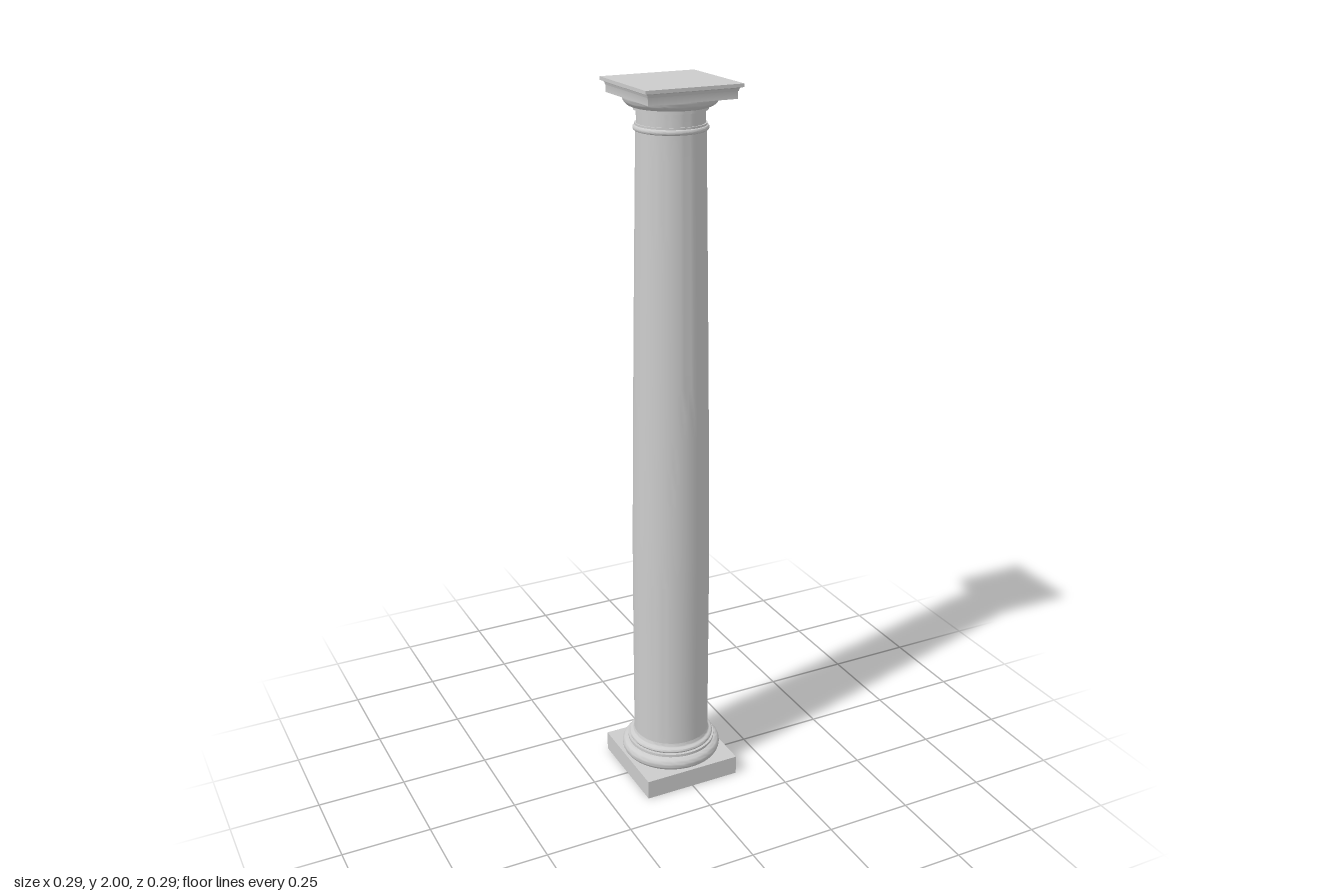
import * as THREE from 'three';
import { toCreasedNormals } from 'three/addons/utils/BufferGeometryUtils.js';

const material = new THREE.MeshStandardMaterial({ color: 0xcccccc });

// Turns a [radius, height] profile; four sides make a square moulding
function turned(name, profile, sides = 64) {
  const square = sides === 4;
  const points = profile.map(([r, y]) => new THREE.Vector2(square ? r * Math.SQRT2 : r, y));
  const lathe = new THREE.LatheGeometry(points, sides, square ? Math.PI / 4 : 0);
  const mesh = new THREE.Mesh(toCreasedNormals(lathe, 0.6), material);
  mesh.name = name;
  return mesh;
}

// Points of an elliptical arc in a profile, angles in degrees from the outward direction
function arc(r, y, rx, ry, from, to, steps = 12) {
  return Array.from({ length: steps + 1 }, (_, i) => {
    const a = THREE.MathUtils.degToRad(from + ((to - from) * i) / steps);
    return [r + rx * Math.cos(a), y + ry * Math.sin(a)];
  });
}

// Shaft radius: straight lower third, then a gentle swelling taper
function shaftProfile(y0, y1) {
  const profile = [];
  for (let i = 0; i <= 24; i++) {
    const t = i / 24;
    const k = Math.max(0, (t - 0.3) / 0.7);
    profile.push([0.108 - 0.018 * Math.pow(k, 1.25), y0 + (y1 - y0) * t]);
  }
  return profile;
}

export function createModel() {
  const column = new THREE.Group();
  column.name = 'column';

  // Base: square plinth, large torus, fillets and a small upper bead
  const base = new THREE.Group();
  base.name = 'base';
  base.add(
    turned('plinth', [[0, 0], [0.143, 0], [0.143, 0.056], [0, 0.056]], 4),
    turned('baseTorus', [[0, 0.056], ...arc(0.123, 0.076, 0.02, 0.02, -90, 90), [0, 0.096]]),
    turned('baseFillet', [[0, 0.096], [0.126, 0.096], [0.126, 0.104], [0, 0.104]]),
    turned('baseBead', [[0, 0.104], ...arc(0.115, 0.111, 0.007, 0.007, -90, 90), [0, 0.118]]),
    turned('apophyge', arc(0.116, 0.13, 0.008, 0.012, 270, 180, 6)),
  );

  // Shaft
  const shaft = turned('shaft', shaftProfile(0.116, 1.88));

  // Capital: astragal, neck, annulet, echinus and square abacus
  const capital = new THREE.Group();
  capital.name = 'capital';
  capital.add(
    turned('astragal', [[0, 1.878], ...arc(0.09, 1.885, 0.007, 0.007, -90, 90), [0, 1.892]]),
    turned('astragalFillet', [[0, 1.892], [0.092, 1.892], [0.092, 1.897], [0, 1.897]]),
    turned('neck', [[0.088, 1.895], [0.088, 1.932]]),
    turned('annulet', [[0, 1.93], [0.095, 1.93], [0.095, 1.938], [0, 1.938]]),
    turned('echinus', [[0, 1.938], ...arc(0.095, 1.964, 0.028, 0.026, -90, 0), [0, 1.964]]),
    turned('abacus', [[0, 1.962], [0.123, 1.962], [0.123, 1.981],
      ...arc(0.132, 1.981, 0.008, 0.01, 180, 90, 5), [0.134, 1.991], [0.134, 2], [0, 2]], 4),
  );

  column.add(base, shaft, capital);
  return column;
}
